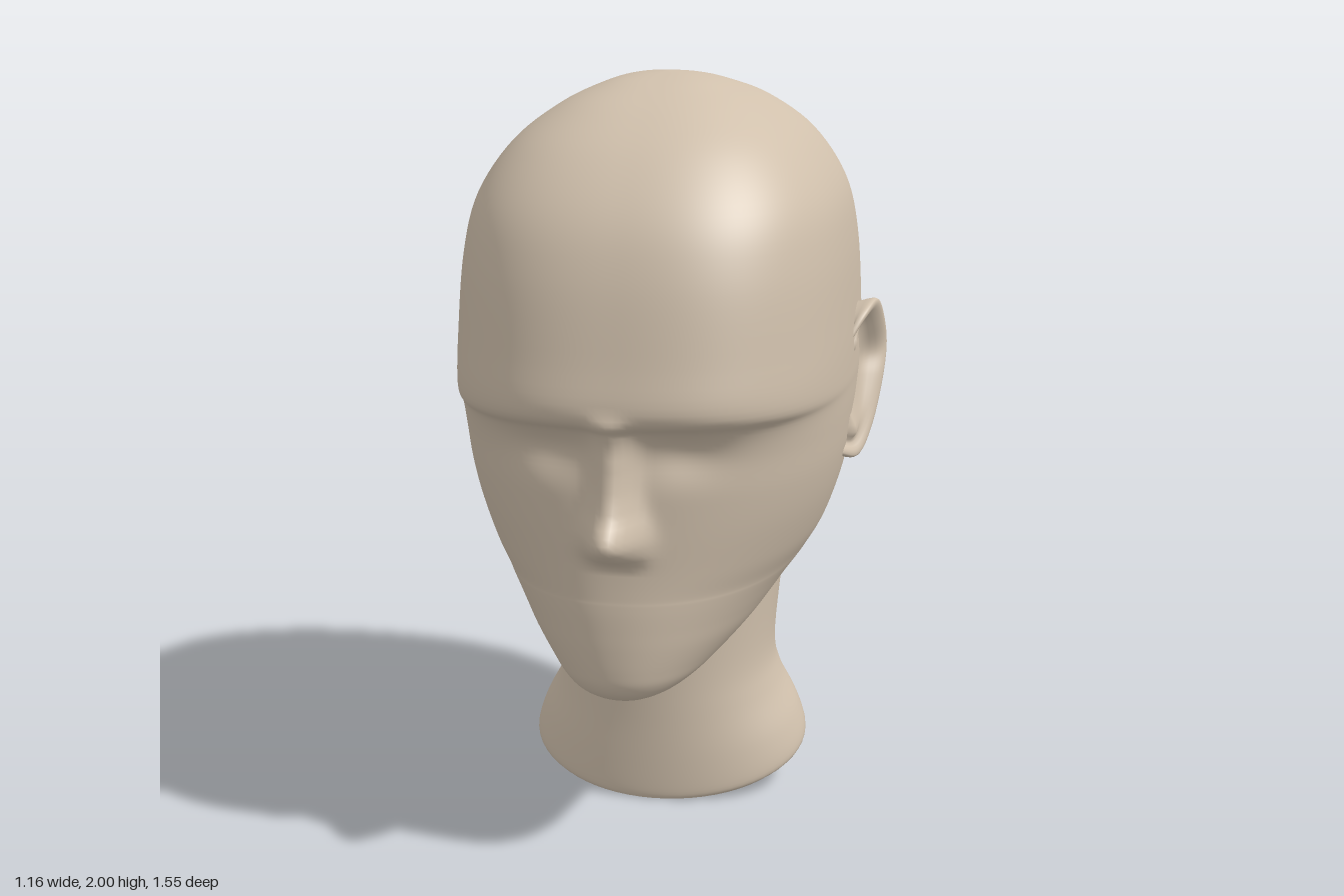
import * as THREE from 'three';
import { mergeVertices } from 'three/addons/utils/BufferGeometryUtils.js';

const { smoothstep } = THREE.MathUtils;
const material = new THREE.MeshStandardMaterial({ color: 0xd0c0ac, roughness: 0.8, side: THREE.DoubleSide });

// Skin a list of equally long point rows; closed joins each row's ends.
function loft(rows, closed) {
  const n = rows[0].length, idx = [];
  const geo = new THREE.BufferGeometry().setFromPoints(rows.flat());
  for (let i = 0; i < rows.length - 1; i++) {
    for (let j = 0; j < (closed ? n : n - 1); j++) {
      const k = (j + 1) % n, a = i * n + j, b = i * n + k;
      idx.push(a, b, a + n, b, b + n, a + n);
    }
  }
  geo.setIndex(idx);
  const merged = mergeVertices(geo, 1e-5);
  merged.computeVertexNormals();
  return merged;
}

// Smoothly resample a table of section values, column by column.
function resample(table, count) {
  const out = [];
  for (let i = 0; i <= count; i++) {
    const f = (i / count) * (table.length - 1);
    const k = Math.min(Math.floor(f), table.length - 2), t = f - k;
    const row = (q) => table[Math.max(0, Math.min(table.length - 1, q))];
    out.push(table[0].map((_, c) => {
      const p = [row(k - 1)[c], row(k)[c], row(k + 1)[c], row(k + 2)[c]];
      const m0 = (p[2] - p[0]) / 2, m1 = (p[3] - p[1]) / 2, d = p[2] - p[1];
      return p[1] + t * (m0 + t * (3 * d - 2 * m0 - m1 + t * (m0 + m1 - 2 * d)));
    }));
  }
  return out;
}

// Rounded ring, widest at zm, reaching zf in front and zb behind.
function ring(segments, y, zf, zb, w, zm, n) {
  return Array.from({ length: segments }, (_, j) => {
    const a = (j / segments) * Math.PI * 2, s = Math.sin(a), c = Math.cos(a);
    const r = (Math.abs(s) ** n + Math.abs(c) ** n) ** (-1 / n);
    return new THREE.Vector3(w * r * s, y, zm + r * c * (c > 0 ? zf - zm : zm - zb));
  });
}

// Nose ridge: height, protrusion
const nosePoints = [[0.82, 0], [0.84, 0.025], [0.865, 0.095], [0.9, 0.14], [0.93, 0.132],
  [0.97, 0.095], [1.02, 0.078], [1.1, 0.068], [1.17, 0.045], [1.23, 0]];
function noseHeight(y) {
  for (let i = 1; i < nosePoints.length; i++) {
    const [y0, h0] = nosePoints[i - 1], [y1, h1] = nosePoints[i];
    if (y >= y0 && y <= y1) return h0 + (h1 - h0) * (y - y0) / (y1 - y0);
  }
  return 0;
}

// Head sections: height, front z, back z, half width, z of widest point
const headSections = [
  [0.44, 0.53, 0.53, 0, 0.53], [0.447, 0.575, 0.46, 0.06, 0.52],
  [0.47, 0.615, 0.38, 0.13, 0.46], [0.5, 0.635, 0.27, 0.185, 0.37],
  [0.54, 0.642, 0.14, 0.235, 0.27], [0.6, 0.645, 0.03, 0.295, 0.17],
  [0.65, 0.645, -0.04, 0.335, 0.1], [0.69, 0.644, -0.12, 0.365, 0.05],
  [0.72, 0.642, -0.3, 0.39, 0], [0.74, 0.64, -0.49, 0.405, -0.03],
  [0.8, 0.637, -0.59, 0.44, -0.05], [0.9, 0.635, -0.66, 0.475, -0.05],
  [1.0, 0.632, -0.71, 0.498, -0.05], [1.1, 0.63, -0.74, 0.51, -0.05],
  [1.17, 0.655, -0.76, 0.515, -0.05], [1.22, 0.713, -0.765, 0.517, -0.04],
  [1.35, 0.692, -0.772, 0.515, -0.04], [1.55, 0.645, -0.74, 0.503, -0.04],
  [1.7, 0.575, -0.67, 0.47, -0.04], [1.83, 0.455, -0.58, 0.385, -0.04],
  [1.92, 0.31, -0.43, 0.27, -0.04], [1.97, 0.17, -0.25, 0.165, -0.04],
  [1.992, 0.06, -0.14, 0.085, -0.04], [2.0, -0.04, -0.04, 0, -0.04],
];

function headGeometry() {
  const rows = resample(headSections, 138).map(([y, zf, zb, w, zm]) =>
    ring(192, y, zf, zb, w, zm, 2.15 + 0.5 * smoothstep(y, 0.6, 1.3)));
  for (const p of rows.flat()) {
    const ax = Math.abs(p.x);
    if (p.z > 0.3) {
      // Eye hollows either side of the nose
      p.z -= 0.025 * Math.exp(-(((ax - 0.17) / 0.1) ** 2) - ((p.y - 1.12) / 0.06) ** 2);
      const spread = 0.068 - 0.02 * smoothstep(p.y, 0.88, 1.05);
      p.z += noseHeight(p.y) * Math.exp(-((ax / spread) ** 2.5));
    }
    // Base of the skull dips behind the neck
    p.y -= 0.04 * smoothstep(-p.z, 0.3, 0.5) * (1 - smoothstep(p.y, 0.74, 0.9));
  }
  return loft(rows, true);
}

// Neck sections: height, slant, half width, front z, back z
const neckSections = [
  [0.098, 0.36, 0.365, 0.155, -0.37], [0.125, 0.36, 0.388, 0.16, -0.39],
  [0.2, 0.3, 0.365, 0.16, -0.392], [0.3, 0.2, 0.315, 0.157, -0.388],
  [0.4, 0.1, 0.294, 0.155, -0.402], [0.6, 0, 0.308, 0.155, -0.44],
  [0.8, 0, 0.325, 0.15, -0.47],
];
function neckRows() {
  return resample(neckSections, 36).map(([y, slant, w, zf, zb]) => {
    const zm = (zf + zb) / 2, pts = ring(64, y, zf, zb, w, zm, 2);
    for (const p of pts) p.y -= slant * (p.z - zm);
    return pts;
  });
}

// Ear: a raised rim swept round a shallow hollow
function earGeometry() {
  const rim = new THREE.CatmullRomCurve3([
    [0.505, 1.29, 0.01], [0.545, 1.365, -0.05], [0.567, 1.388, -0.14], [0.576, 1.33, -0.215],
    [0.58, 1.245, -0.262], [0.577, 1.16, -0.225], [0.555, 1.02, -0.14],
    [0.53, 0.96, -0.07], [0.49, 0.98, 0.01],
  ].map((p) => new THREE.Vector3(...p)));
  const rows = rim.getPoints(56).map((p) => {
    // Fraction towards the ear's centre, and x
    const section = [[0.06, 0.46], [0.05, 0.51], [0, p.x - 0.012], [0.02, p.x],
      [0.1, p.x - 0.002], [0.2, p.x - 0.018], [0.32, 0.525], [0.55, 0.508], [0.8, 0.49]];
    const pts = section.map(([f, x]) => new THREE.Vector3(
      Math.min(x, p.x), THREE.MathUtils.lerp(p.y, 1.18, f), THREE.MathUtils.lerp(p.z, -0.05, f)));
    return new THREE.CatmullRomCurve3(pts).getPoints(20);
  });
  return loft(rows.reverse(), false);
}

export function createModel() {
  const model = new THREE.Group();
  model.name = 'mannequinHead';
  const add = (name, geometry) => {
    const mesh = new THREE.Mesh(geometry, material);
    mesh.name = name;
    model.add(mesh);
    return mesh;
  };

  add('head', headGeometry());

  const neck = neckRows();
  add('neck', loft(neck, true));
  const centre = new THREE.Vector3(0, 0.098, -0.1075);
  add('neckBase', loft([neck[0].map(() => centre.clone()), neck[0]], true));

  const ear = earGeometry();
  add('leftEar', ear);
  add('rightEar', ear).scale.x = -1;

  return model;
}
